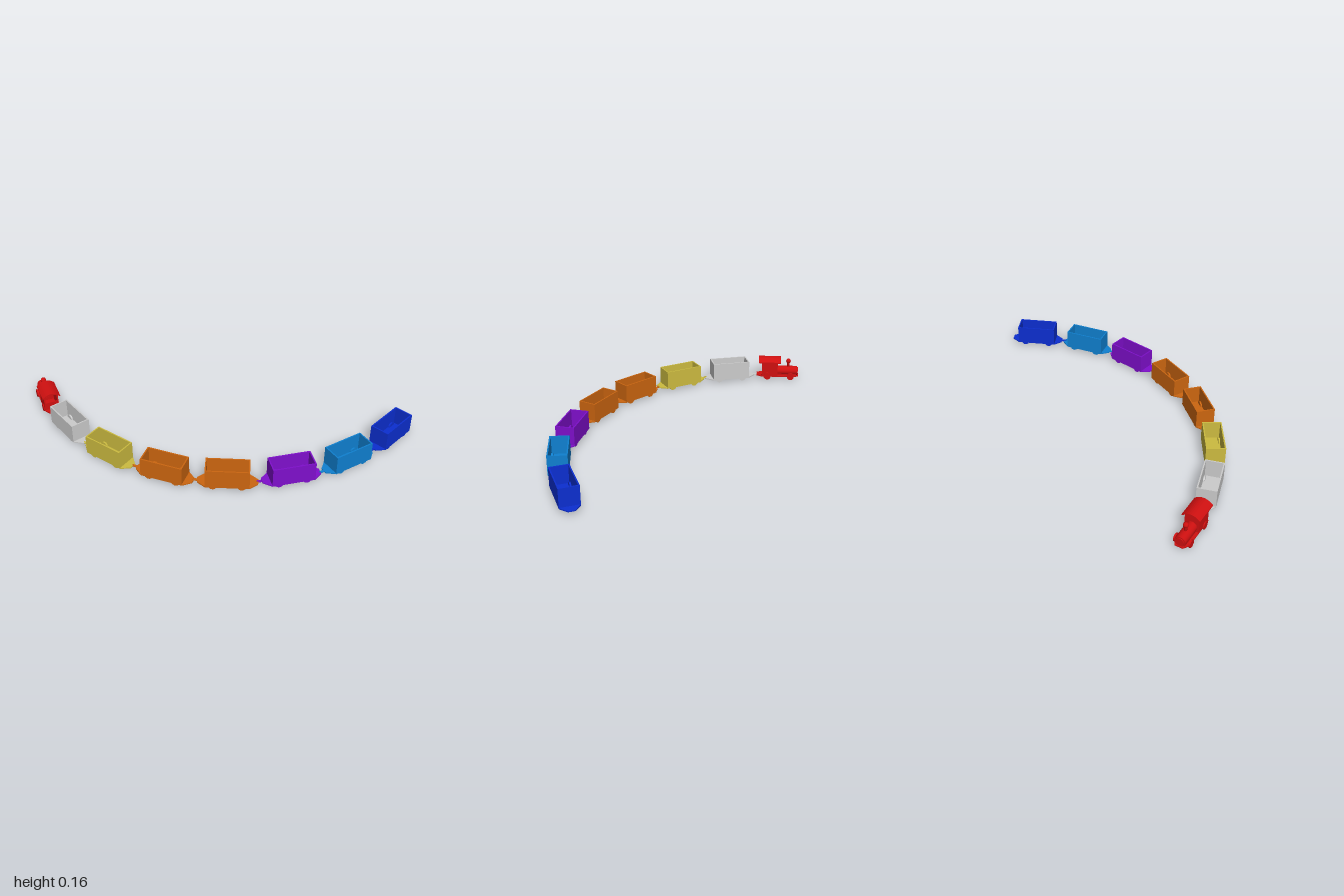
import * as THREE from 'three';

const mat = (name, color) => new THREE.MeshStandardMaterial({ name, color });

function add(group, name, geo, material, x = 0, y = 0, z = 0) {
  const m = new THREE.Mesh(geo, material);
  m.name = name;
  m.position.set(x, y, z);
  group.add(m);
  return m;
}

const shapeOf = (pts) => new THREE.Shape(pts.map(([x, y]) => new THREE.Vector2(x, y)));
const extrude = (shape, depth) => new THREE.ExtrudeGeometry(shape, { depth, bevelEnabled: false });

// Flat frame plate with tapered ends, outline drawn in plan (x, z)
function addFrame(group, material, halfWidth, front, back, taper, tip) {
  const w = halfWidth;
  const shape = shapeOf([
    [-tip, back], [tip, back], [w, back + taper], [w, front - taper],
    [tip, front], [-tip, front], [-w, front - taper], [-w, back + taper],
  ]);
  const geo = extrude(shape, 0.007);
  geo.rotateX(Math.PI / 2);
  geo.scale(1, 1, 1);
  add(group, 'frame', geo, material, 0, 0.027, 0);
}

// Wheel pairs on axles
function addWheels(group, material, halfTrack, positions) {
  const wheel = new THREE.CylinderGeometry(0.025, 0.025, 0.01, 24).rotateZ(Math.PI / 2);
  const axle = new THREE.CylinderGeometry(0.005, 0.005, halfTrack * 2, 10).rotateZ(Math.PI / 2);
  for (const z of positions) {
    add(group, 'axle', axle, material, 0, 0.018, z);
    for (const s of [-1, 1]) add(group, 'wheel', wheel, material, s * halfTrack, 0.025, z);
  }
}

// Bar and pin linking one vehicle to the next
function addCoupling(group, material, z, length) {
  add(group, 'couplingBar', new THREE.BoxGeometry(0.016, 0.005, length), material, 0, 0.0235, z + length / 2);
  add(group, 'couplingPin', new THREE.CylinderGeometry(0.005, 0.005, 0.012, 10), material, 0, 0.024, z + length);
}

function makeWagon(material) {
  const g = new THREE.Group();
  const L = 0.256, W = 0.118, t = 0.008, low = 0.022, top = 0.14;
  const h = top - low, y = (top + low) / 2;
  addFrame(g, material, W / 2, 0.174, -0.176, 0.047, 0.02);
  // Open box of four walls
  const side = new THREE.BoxGeometry(t, h, L);
  const end = new THREE.BoxGeometry(W - 2 * t, h, t);
  for (const s of [-1, 1]) {
    add(g, 'sideWall', side, material, s * (W - t) / 2, y, 0);
    add(g, 'endWall', end, material, 0, y, s * (L - t) / 2);
  }
  addWheels(g, material, 0.046, [-0.083, 0.083]);
  addCoupling(g, material, 0.17, 0.03);
  return g;
}

// Arc points for the curved roof, left to right
function arc(halfWidth, eave, crown, n = 10) {
  const pts = [];
  for (let i = 0; i <= n; i++) {
    const u = -1 + (2 * i) / n;
    pts.push([u * halfWidth, eave + (crown - eave) * (1 - u * u)]);
  }
  return pts;
}

function makeLocomotive(material) {
  const g = new THREE.Group();
  addFrame(g, material, 0.046, 0.14, -0.155, 0.035, 0.024);

  // Boiler with front ring, door and knob
  const tube = (r, len) => new THREE.CylinderGeometry(r, r, len, 28).rotateX(Math.PI / 2);
  add(g, 'boiler', tube(0.033, 0.14), material, 0, 0.055, 0.062);
  add(g, 'boilerDoor', tube(0.026, 0.006), material, 0, 0.055, 0.134);
  add(g, 'underframe', new THREE.BoxGeometry(0.056, 0.026, 0.14), material, 0, 0.035, 0.055);

  // Chimney with rounded cap
  const profile = [[0, 0.08], [0.009, 0.08], [0.009, 0.112], [0.015, 0.118],
    [0.017, 0.127], [0.014, 0.136], [0.007, 0.141], [0, 0.141]];
  const chimney = new THREE.LatheGeometry(profile.map(([x, y]) => new THREE.Vector2(x, y)), 20);
  add(g, 'chimney', chimney, material, 0, 0, 0.069);

  // Cab: front wall under the arch, side walls, low open rear
  const front = shapeOf([[-0.045, 0.022], ...arc(0.045, 0.13, 0.15), [0.045, 0.022]].reverse());
  add(g, 'cabFront', extrude(front, 0.008), material, 0, 0, -0.014);
  const side = new THREE.BoxGeometry(0.008, 0.112, 0.111);
  for (const s of [-1, 1]) add(g, 'cabSide', side, material, s * 0.041, 0.078, -0.0615);
  add(g, 'cabRear', new THREE.BoxGeometry(0.076, 0.055, 0.008), material, 0, 0.0495, -0.113);

  // Arched roof shell
  const roof = shapeOf([...arc(0.056, 0.124, 0.148), ...arc(0.056, 0.131, 0.156).reverse()]);
  add(g, 'cabRoof', extrude(roof, 0.155), material, 0, 0, -0.14);

  addWheels(g, material, 0.046, [-0.079, 0.085]);
  return g;
}

export function createModel() {
  const model = new THREE.Group();
  model.name = 'toyTrain';
  const red = mat('red', 0xd01010);
  const silver = mat('silver', 0xcccccc);
  const yellow = mat('yellow', 0xccbb40);
  const orange = mat('orange', 0xcc6610);
  const purple = mat('purple', 0x7f0fcc);
  const sky = mat('skyBlue', 0x0f80d0);
  const blue = mat('blue', 0x0c2ed0);

  // Vehicles along the curve: builder, colour, x, z, heading in degrees
  const train = [
    ['locomotive', makeLocomotive, red, -0.861, 0.602, 114],
    ['silverWagon', makeWagon, silver, -0.521, 0.69, 98],
    ['yellowWagon', makeWagon, yellow, -0.155, 0.693, 82],
    ['frontOrangeWagon', makeWagon, orange, 0.2, 0.585, 67],
    ['rearOrangeWagon', makeWagon, orange, 0.504, 0.383, 50],
    ['purpleWagon', makeWagon, purple, 0.741, 0.102, 33],
    ['skyBlueWagon', makeWagon, sky, 0.894, -0.231, 15],
    ['blueWagon', makeWagon, blue, 0.941, -0.597, 0],
  ];
  for (const [name, build, material, x, z, heading] of train) {
    const v = build(material);
    v.name = name;
    v.position.set(x, 0, z);
    v.rotation.y = -THREE.MathUtils.degToRad(heading);
    model.add(v);
  }
  return model;
}
